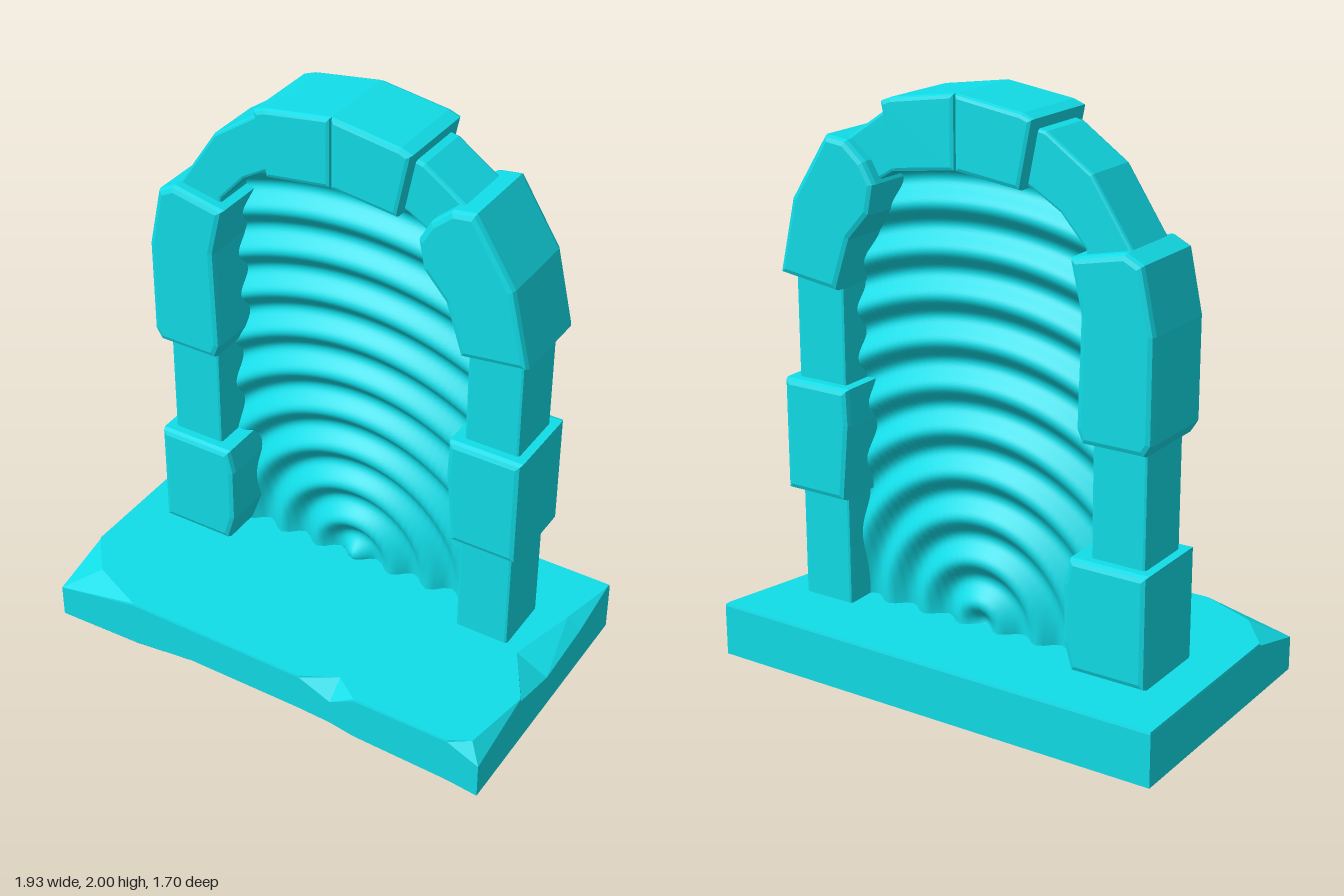
import * as THREE from 'three';

const stone = new THREE.MeshStandardMaterial({ color: 0x11dde8, flatShading: true });
const ripple = new THREE.MeshStandardMaterial({ color: 0x11dde8, side: THREE.DoubleSide });
const MID = -0.13; // depth of the arch's centre plane on the base

// Worn stone: outline in (x, y), bevelled and extruded around the centre plane
function addStone(parent, name, outline, depth, bevel = 0.02) {
  const shape = new THREE.Shape(outline.map(([x, y]) => new THREE.Vector2(x, y)));
  const geo = new THREE.ExtrudeGeometry(shape, {
    depth: depth - 2 * bevel, bevelSize: bevel, bevelThickness: bevel,
    bevelOffset: -bevel, bevelSegments: 2,
  });
  geo.translate(0, 0, MID - depth / 2 + bevel);
  const mesh = new THREE.Mesh(geo, stone);
  mesh.name = name;
  parent.add(mesh);
}

const mirror = (pts) => pts.map(([x, y]) => [-x, y]).reverse();
const rect = (x0, x1, y0, y1) => [[x0, y0], [x1, y0], [x1, y1], [x0, y1]];

// Slab with chipped edges, built from four rings and two end fans
function makeBase() {
  // x, z, top x, top z, chip start height, undercut
  const rim = [
    [0.835, 0.48, 0.79, 0.44, 0.13, 0],
    [0.835, 0.19, 0.833, 0.19, 0.18, 0],
    [0.835, 0, 0.72, 0, 0.13, 0],
    [0.835, -0.25, 0.785, -0.25, 0.15, 0],
    [0.835, -0.46, 0.833, -0.46, 0.18, 0],
    [0.835, -0.48, 0.833, -0.478, 0.18, 0],
    [-0.835, -0.48, -0.833, -0.478, 0.18, 0],
    [-0.835, 0.25, -0.833, 0.25, 0.18, 0],
    [-0.835, 0.48, -0.72, 0.39, 0.12, 0],
    [-0.52, 0.48, -0.52, 0.478, 0.18, 0.01],
    [-0.28, 0.48, -0.28, 0.478, 0.18, 0.04],
    [0.16, 0.48, 0.16, 0.478, 0.18, 0.04],
    [0.28, 0.48, 0.28, 0.415, 0.13, 0.035],
    [0.37, 0.48, 0.37, 0.478, 0.18, 0.02],
    [0.72, 0.48, 0.72, 0.478, 0.18, 0.01],
  ];
  const n = rim.length, top = 0.188;
  const pos = [], idx = [];
  for (const [x, z, , , , cut] of rim) pos.push(x, 0, z - cut);
  for (const [x, z, , , , cut] of rim) pos.push(x, 0.002 + cut, z);
  for (const [x, z, , , chip] of rim) pos.push(x, chip, z);
  for (const [, , x, z] of rim) pos.push(x, top, z);
  pos.push(0, 0, 0, 0, top, 0);
  for (let i = 0; i < n; i++) {
    const j = (i + 1) % n;
    for (let r = 0; r < 3; r++) {
      const a = r * n + i, b = r * n + j;
      idx.push(a, b, b + n, a, b + n, a + n);
    }
    idx.push(4 * n, j, i, 4 * n + 1, 3 * n + i, 3 * n + j);
  }
  const geo = new THREE.BufferGeometry();
  geo.setAttribute('position', new THREE.Float32BufferAttribute(pos, 3));
  geo.setIndex(idx);
  geo.computeVertexNormals();
  const mesh = new THREE.Mesh(geo, stone);
  mesh.name = 'base';
  return mesh;
}

// Thin sheet filling the arch, with rings spreading from the middle of its foot
function makeSheet() {
  const geo = new THREE.PlaneGeometry(2, 1, 40, 180);
  const p = geo.attributes.position;
  for (let i = 0; i < p.count; i++) {
    const y = 0.18 + (p.getY(i) + 0.5) * 1.63;
    const rise = Math.max(0, (y - 1.4) / 0.42);
    const x = p.getX(i) * 0.5 * Math.sqrt(1 - rise * rise);
    const r = Math.hypot(x, y - 0.2);
    p.setXYZ(i, x, y, MID - 0.015 + 0.024 * Math.cos((r / 0.15) * Math.PI * 2));
  }
  geo.computeVertexNormals();
  const mesh = new THREE.Mesh(geo, ripple);
  mesh.name = 'rippledSheet';
  return mesh;
}

export function createModel() {
  const model = new THREE.Group();
  model.name = 'stoneArchway';
  const arch = new THREE.Group();
  arch.name = 'archOnBase';
  arch.rotation.y = -0.555;
  model.add(arch);
  arch.add(makeBase(), makeSheet());

  // Slim columns and curved arch stones, the same on both sides
  const column = rect(0.475, 0.67, 0.17, 1.4);
  const curve = [[0.47, 1.35], [0.67, 1.35], [0.6, 1.59], [0.46, 1.8], [0.3, 1.91],
    [0.2, 1.93], [0.2, 1.75], [0.25, 1.73], [0.35, 1.67], [0.44, 1.57]];
  addStone(arch, 'leftColumn', column, 0.22, 0.01);
  addStone(arch, 'rightColumn', mirror(column), 0.22, 0.01);
  addStone(arch, 'leftArchStone', curve, 0.22, 0.01);
  addStone(arch, 'rightArchStone', mirror(curve), 0.22, 0.01);

  // Paired top stones
  const crown = [[0, 1.76], [0.235, 1.73], [0.28, 1.95], [0.24, 1.965], [0, 2]];
  addStone(arch, 'leftTopStone', crown, 0.315, 0.015);
  addStone(arch, 'rightTopStone', mirror(crown), 0.315, 0.015);

  // Large stones, staggered between the two sides
  addStone(arch, 'leftMiddleBlock', [[0.46, 0.58], [0.7, 0.58], [0.7, 0.975], [0.44, 0.975],
    [0.435, 0.85]], 0.315);
  addStone(arch, 'leftShoulderBlock', [[0.47, 1.31], [0.7, 1.34], [0.64, 1.6], [0.5, 1.82],
    [0.42, 1.81], [0.35, 1.75], [0.31, 1.68], [0.33, 1.58], [0.41, 1.49]], 0.32);
  addStone(arch, 'rightLowerBlock', [[-0.7, 0.2], [-0.43, 0.2], [-0.4, 0.3], [-0.4, 0.5],
    [-0.42, 0.585], [-0.7, 0.585]], 0.315);
  addStone(arch, 'rightUpperBlock', [[-0.68, 0.97], [-0.46, 0.97], [-0.44, 1.02], [-0.45, 1.38],
    [-0.41, 1.55], [-0.6, 1.59], [-0.66, 1.56], [-0.705, 1.35], [-0.705, 1.01]], 0.315);
  return model;
}
